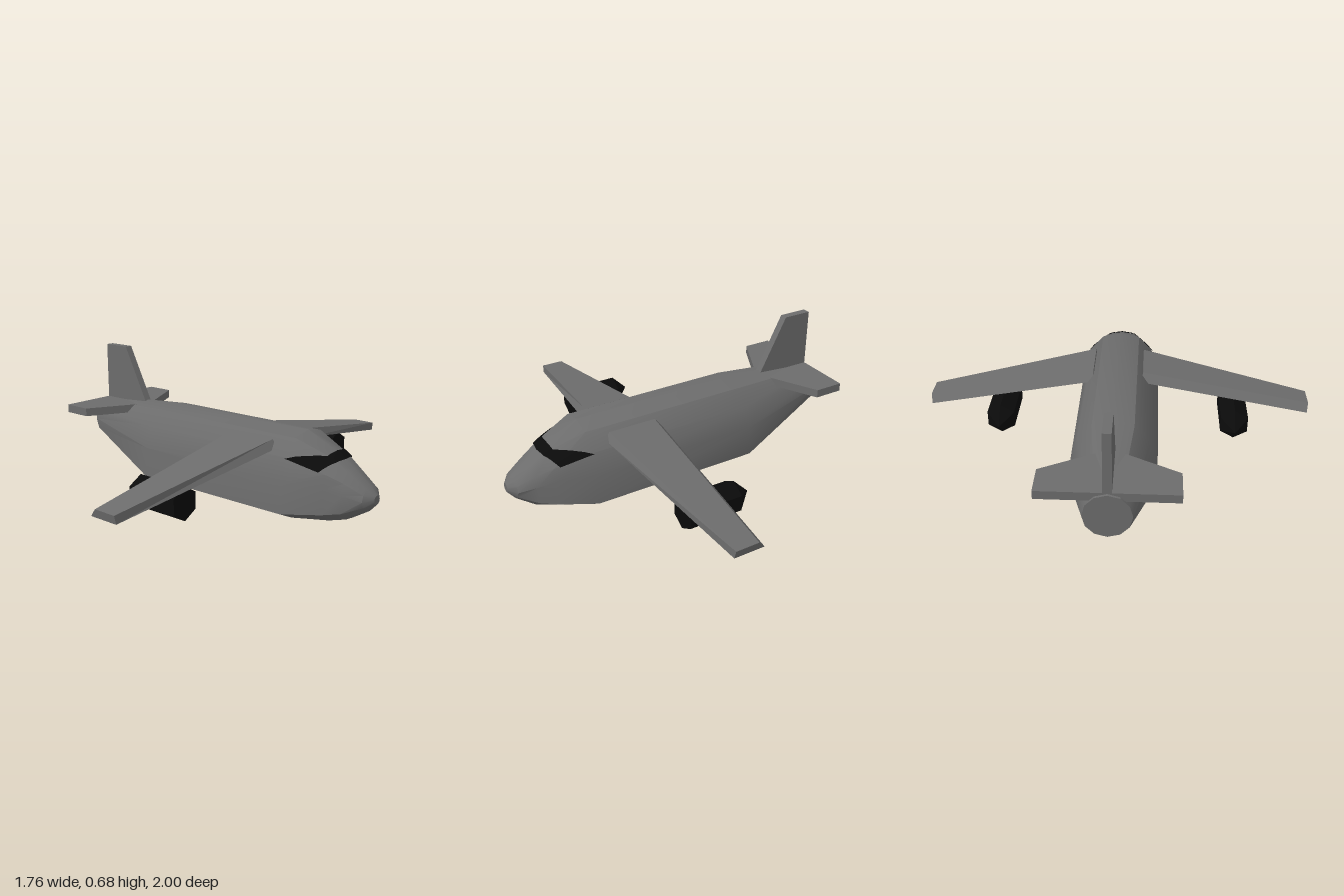
import * as THREE from 'three';
import { toCreasedNormals } from 'three/addons/utils/BufferGeometryUtils.js';

const hull = new THREE.MeshStandardMaterial({ color: 0x6c6c6c });
const black = new THREE.MeshStandardMaterial({ color: 0x0b0b0b, flatShading: true });
const glass = new THREE.MeshStandardMaterial({ color: 0x0b0b0b, side: THREE.DoubleSide });

// Closed skin over rings; corners turn counter-clockwise seen from the last ring's end
function loft(rings, crease) {
  const n = rings[0].length, pos = [];
  const tri = (...pts) => pts.forEach(p => pos.push(...p));
  for (let i = 0; i + 1 < rings.length; i++) {
    for (let j = 0; j < n; j++) {
      const k = (j + 1) % n, A = rings[i], B = rings[i + 1];
      tri(A[j], A[k], B[j]);
      tri(A[k], B[k], B[j]);
    }
  }
  const first = rings[0], last = rings[rings.length - 1];
  for (let j = 1; j + 1 < n; j++) {
    tri(first[0], first[j + 1], first[j]);
    tri(last[0], last[j], last[j + 1]);
  }
  const g = new THREE.BufferGeometry();
  g.setAttribute('position', new THREE.Float32BufferAttribute(pos, 3));
  return toCreasedNormals(g, crease);
}

// Half cross-sections as [z, y], top to bottom
const round = (cy, rz, ry) => Array.from({ length: 7 }, (_, i) =>
  [rz * Math.sin(i * Math.PI / 6), cy + ry * Math.cos(i * Math.PI / 6)]);
const cabin = [[0, 0.41], [0.1, 0.388], [0.17, 0.31], [0.203, 0.2], [0.215, 0.05], [0.12, 0.007], [0, 0]];
const sections = [
  [-0.88, round(0.262, 0.11, 0.112)],
  [-0.38, cabin],
  [0.5, cabin],
  [0.68, [[0, 0.326], [0.06, 0.316], [0.125, 0.256], [0.14, 0.19], [0.147, 0.07], [0.08, 0.026], [0, 0.022]]],
  [0.76, [[0, 0.268], [0.05, 0.26], [0.094, 0.222], [0.11, 0.17], [0.113, 0.085], [0.06, 0.045], [0, 0.038]]],
  [0.845, round(0.148, 0.075, 0.058)],
  [0.878, round(0.148, 0.024, 0.022)],
];

// Point just above the fuselage at station x and section parameter t (0 = top)
function skin(x, t, lift) {
  let i = 0;
  while (i < sections.length - 2 && sections[i + 1][0] < x) i++;
  const [xa, a] = sections[i], [xb, b] = sections[i + 1];
  const f = (x - xa) / (xb - xa), j = Math.floor(t), s = t - j;
  const at = c => THREE.MathUtils.lerp(
    THREE.MathUtils.lerp(a[j][c], a[j + 1][c], s), THREE.MathUtils.lerp(b[j][c], b[j + 1][c], s), f);
  return [x + lift * 0.5, at(1) + lift, at(0) + lift * Math.min(t, 1)];
}

// Half of the windscreen band wrapped over the nose, from the centre line to one side
function windscreenHalf(side) {
  const edges = [[0.66, 0.71], [0.655, 0.70], [0.49, 0.65]], pos = [], idx = [];
  const nt = 8, nx = 8;
  for (let i = 0; i <= nt; i++) {
    const t = 2 * i / nt, j = Math.min(Math.floor(t), 1), s = t - j;
    const x0 = THREE.MathUtils.lerp(edges[j][0], edges[j + 1][0], s);
    const x1 = THREE.MathUtils.lerp(edges[j][1], edges[j + 1][1], s);
    for (let k = 0; k <= nx; k++) {
      const p = skin(x0 + (x1 - x0) * k / nx, t * 1.04, 0.004);
      pos.push(p[0], p[1], p[2] * side);
      if (i < nt && k < nx) {
        const a = i * (nx + 1) + k, b = a + nx + 1;
        if (side > 0) idx.push(a, b, a + 1, b, b + 1, a + 1);
        else idx.push(a, a + 1, b, b, a + 1, b + 1);
      }
    }
  }
  const g = new THREE.BufferGeometry();
  g.setAttribute('position', new THREE.Float32BufferAttribute(pos, 3));
  g.setIndex(idx);
  g.computeVertexNormals();
  return g;
}

// Tapered wing, trapezoid in section with bevelled leading and trailing edges
function wingGeometry(side) {
  const ring = (z, y, rear, front, slope) => [
    [front, y - 0.04, z - 0.008], [front - slope, y, z], [rear + 0.035, y, z], [rear, y - 0.04, z - 0.008],
  ].map(p => [p[0], p[1], p[2] * side]);
  const root = ring(0.13, 0.37, 0.108, 0.412, 0.022), tip = ring(1, 0.21, 0.108, 0.262, 0.002);
  return loft(side > 0 ? [root, tip] : [tip, root], 0.1);
}

// Flat plate from an outline, centred on its thickness
function plate(outline, thickness) {
  const shape = new THREE.Shape(outline.map(p => new THREE.Vector2(...p)));
  return new THREE.ExtrudeGeometry(shape, { depth: thickness, bevelEnabled: false }).translate(0, 0, -thickness / 2);
}

export function createModel() {
  const model = new THREE.Group();
  const add = (name, geometry, material) => {
    const mesh = new THREE.Mesh(geometry, material);
    mesh.name = name;
    model.add(mesh);
    return mesh;
  };

  // Fuselage
  const rings = sections.map(([x, half]) => [
    ...half.map(([z, y]) => [x, y, z]),
    ...half.slice(1, 6).reverse().map(([z, y]) => [x, y, -z]),
  ]);
  add('fuselage', loft(rings, 0.52), hull);

  // Tail fin and tailplane
  add('tailFin', plate([[-0.87, 0.34], [-0.545, 0.34], [-0.717, 0.677], [-0.87, 0.677]], 0.04), hull);
  const tailplane = plate([[-0.87, -0.315], [-0.72, -0.315], [-0.567, -0.02],
    [-0.567, 0.02], [-0.72, 0.315], [-0.87, 0.315]], 0.042);
  add('tailplane', tailplane.rotateX(Math.PI / 2).translate(0, 0.358, 0), hull);

  // Wings, hexagonal engines and windscreen halves on both sides
  const profile = [[0, -0.08], [0.08, 0], [0.08, 0.275], [0, 0.275]].map(p => new THREE.Vector2(...p));
  for (const side of [1, -1]) {
    const end = side > 0 ? 'Front' : 'Back';
    add('wing' + end, wingGeometry(side), hull);
    const engine = new THREE.LatheGeometry(profile, 6).rotateY(Math.PI / 6).rotateZ(-Math.PI / 2);
    add('engine' + end, engine, black).position.set(0, 0.155, side * 0.605);
    add('windscreen' + end, windscreenHalf(side), glass);
  }
  return model;
}
